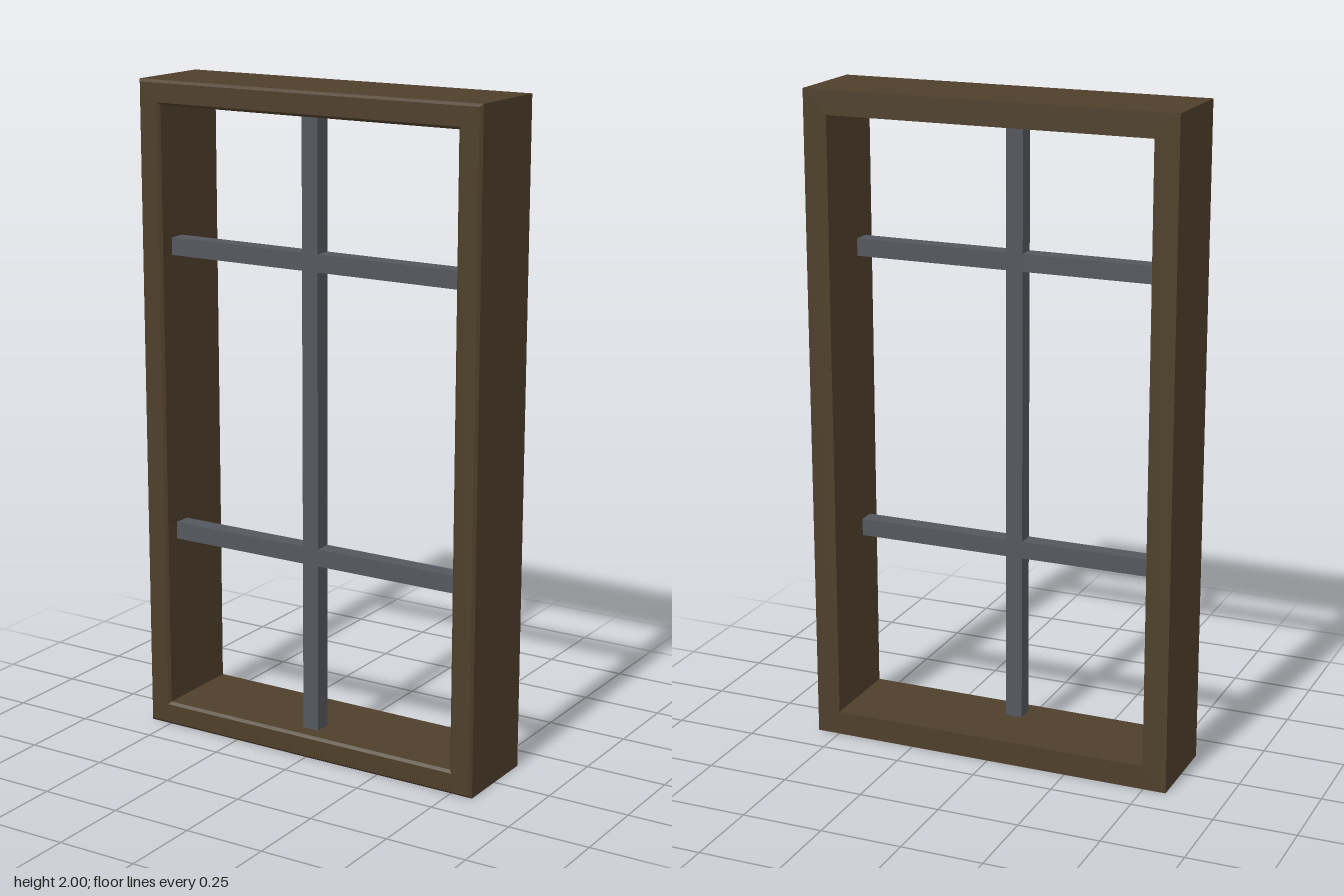
import * as THREE from 'three';

const wood = new THREE.MeshStandardMaterial({ color: 0x4e3f2b });
wood.name = 'dark brown wood';
const metal = new THREE.MeshStandardMaterial({ color: 0x54575d });
metal.name = 'grey bar';

const HALF_W = 0.57, HEIGHT = 2, HALF_D = 0.144, RAIL = 0.073, CHAMFER = 0.008;

// Mitred rectangular frame: a section of [inset, z] points swept round four corners
function frameGeometry() {
  const f = HALF_D - CHAMFER;
  const section = [
    [0, -HALF_D], [0, f], [CHAMFER, HALF_D],
    [RAIL - CHAMFER, HALF_D], [RAIL, f], [RAIL, -HALF_D],
  ];
  const corners = [[-1, -1], [1, -1], [1, 1], [-1, 1]];
  const point = (s, c) => {
    const [inset, z] = section[s % section.length];
    const [sx, sy] = corners[c % 4];
    return [sx * (HALF_W - inset), HEIGHT / 2 + sy * (HEIGHT / 2 - inset), z];
  };
  const positions = [];
  for (let c = 0; c < 4; c++) {
    for (let s = 0; s < section.length; s++) {
      const a = point(s, c), b = point(s, c + 1), d = point(s + 1, c + 1), e = point(s + 1, c);
      positions.push(...a, ...b, ...d, ...a, ...d, ...e);
    }
  }
  const geometry = new THREE.BufferGeometry();
  geometry.setAttribute('position', new THREE.Float32BufferAttribute(positions, 3));
  geometry.computeVertexNormals();
  return geometry;
}

// Square bar between two x and two y limits
const BAR = 0.053, BAR_Z = 0.065;
function bar(name, x0, x1, y0, y1) {
  const mesh = new THREE.Mesh(new THREE.BoxGeometry(x1 - x0, y1 - y0, BAR), metal);
  mesh.position.set((x0 + x1) / 2, (y0 + y1) / 2, BAR_Z);
  mesh.name = name;
  return mesh;
}

export function createModel() {
  const model = new THREE.Group();
  model.name = 'window';

  const frame = new THREE.Mesh(frameGeometry(), wood);
  frame.name = 'frame';
  model.add(frame);

  // Glazing bars: one upright, slightly off centre, and two crossbars meeting it
  const bars = new THREE.Group();
  bars.name = 'glazingBars';
  const left = -0.037, right = left + BAR, inner = HALF_W - RAIL;
  bars.add(bar('uprightBar', left, right, RAIL, HEIGHT - RAIL));
  for (const [name, y] of [['lowerCrossbar', 0.62], ['upperCrossbar', 1.504]]) {
    const crossbar = new THREE.Group();
    crossbar.name = name;
    crossbar.add(
      bar(name + 'RightHalf', -inner, left, y - BAR / 2, y + BAR / 2),
      bar(name + 'LeftHalf', right, inner, y - BAR / 2, y + BAR / 2),
    );
    bars.add(crossbar);
  }
  model.add(bars);

  return model;
}
